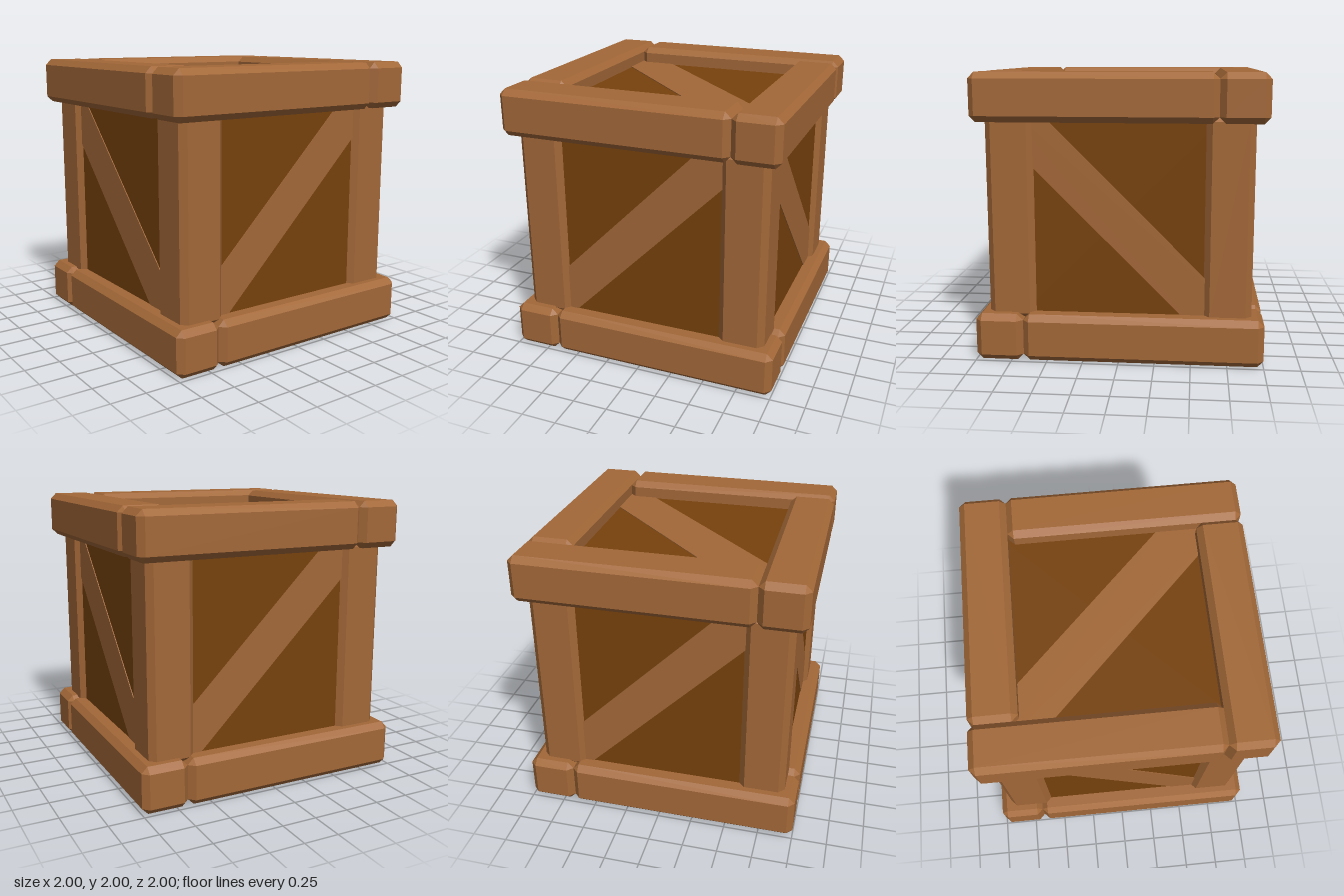
import * as THREE from 'three';
import { ConvexGeometry } from 'three/addons/geometries/ConvexGeometry.js';

const beamWood = new THREE.MeshStandardMaterial({ color: 0xa36838 });
beamWood.name = 'beam wood';
const panelWood = new THREE.MeshStandardMaterial({ color: 0x77420c });
panelWood.name = 'panel wood';

const CHAMFER = 0.043;
const BEAM = 0.333;   // beam thickness
const PANEL = 0.875;  // half size of the inner box

// Box with every edge cut at 45 degrees
function chamferedBox(w, h, d) {
  const [x, y, z] = [w / 2, h / 2, d / 2];
  const c = CHAMFER;
  const points = [];
  for (const sx of [-1, 1]) for (const sy of [-1, 1]) for (const sz of [-1, 1]) {
    points.push(
      new THREE.Vector3(sx * x, sy * (y - c), sz * (z - c)),
      new THREE.Vector3(sx * (x - c), sy * y, sz * (z - c)),
      new THREE.Vector3(sx * (x - c), sy * (y - c), sz * z)
    );
  }
  return new ConvexGeometry(points);
}

// Diagonal strip lo <= v - u <= hi, clipped to the panel square
function braceGeometry(lo, hi, flip) {
  const s = PANEL - 0.01;
  let points = [[-s, -s], [-s - lo, -s], [s, s + lo], [s, s], [s - hi, s], [-s, -s + hi]];
  if (flip) points = points.map(([u, v]) => [-u, v]);
  const shape = new THREE.Shape(points.map(([u, v]) => new THREE.Vector2(u, v)));
  return new THREE.ExtrudeGeometry(shape, { depth: 0.006, bevelEnabled: false });
}

export function createModel() {
  const crate = new THREE.Group();
  crate.name = 'crate';

  const add = (name, geometry, material, parent = crate) => {
    const mesh = new THREE.Mesh(geometry, material);
    mesh.name = name;
    parent.add(mesh);
    return mesh;
  };

  // Inner box
  add('panels', new THREE.BoxGeometry(2 * PANEL, 2 * PANEL, 2 * PANEL), panelWood).position.y = 1;

  // Pinwheel frames: four beams each, turning opposite ways at top and bottom
  const railGeometry = chamferedBox(2 - BEAM, BEAM, BEAM);
  const postGeometry = chamferedBox(BEAM, 1.44, BEAM);
  const edge = 1 - BEAM / 2;
  const postEdge = 0.915 - BEAM / 2;
  for (let i = 0; i < 4; i++) {
    const side = new THREE.Group();
    side.name = 'frameSide' + (i + 1);
    side.rotation.y = i * Math.PI / 2;
    add('topRail', railGeometry, beamWood, side).position.set(-BEAM / 2, 2 - BEAM / 2, edge);
    add('bottomRail', railGeometry, beamWood, side).position.set(BEAM / 2, BEAM / 2, edge);
    add('cornerPost', postGeometry, beamWood, side).position.set(postEdge, 1, postEdge);
    crate.add(side);
  }

  // Diagonal braces: name, x turn, y turn, strip limits, mirrored
  const q = Math.PI / 2;
  const braces = [
    ['frontBrace', 0, 0, -0.14, 0.265, false],
    ['backBrace', 0, 2 * q, -0.14, 0.265, false],
    ['leftBrace', 0, q, -0.24, 0.19, true],
    ['rightBrace', 0, -q, -0.24, 0.19, true],
    ['topBrace', -q, 0, -0.215, 0.28, true],
    ['bottomBrace', q, 0, -0.28, 0.13, true]
  ];
  for (const [name, rx, ry, lo, hi, flip] of braces) {
    const holder = new THREE.Group();
    holder.name = name + 'Face';
    holder.position.y = 1;
    holder.rotation.set(rx, ry, 0);
    add(name, braceGeometry(lo, hi, flip), beamWood, holder).position.z = PANEL;
    crate.add(holder);
  }
  return crate;
}
